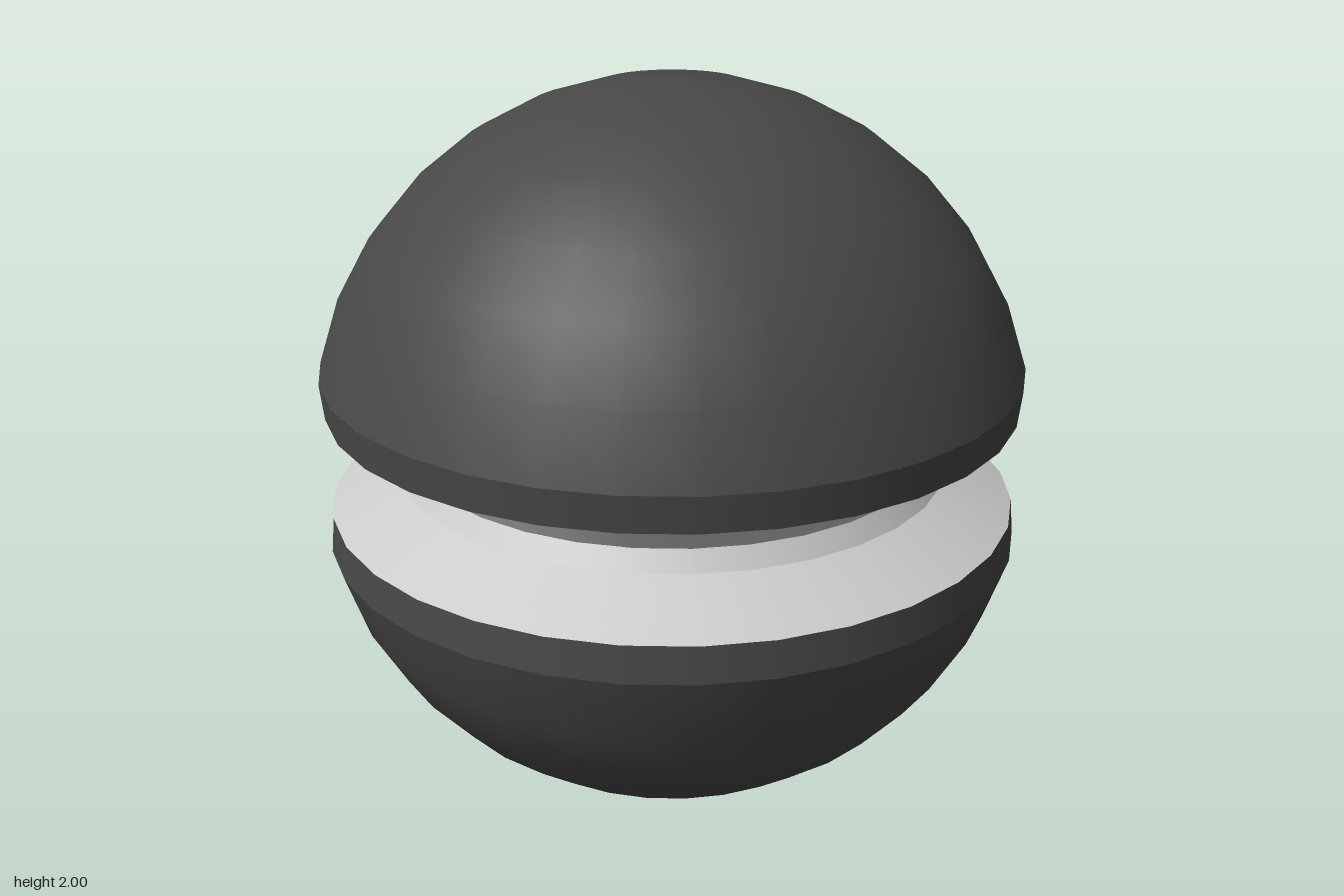
import * as THREE from 'three';

const SIDES = 32;
const dark = new THREE.MeshStandardMaterial({ color: 0x484848 });
const grey = new THREE.MeshStandardMaterial({ color: 0xcccccc });

// Points of the domed cap, from its lower edge up to the pole
function domeProfile(rows = 7, radius = 0.98, centreY = 1.02) {
  const edge = Math.acos(0.22 / radius);
  const points = [];
  for (let i = rows; i >= 0; i--) {
    const a = (edge * i) / rows;
    points.push([i === 0 ? 0 : radius * Math.sin(a), centreY + radius * Math.cos(a)]);
  }
  return points;
}

// Upper half, bottom to top; separate pieces keep the edges between them sharp
const pieces = [
  ['innerGroove', grey, [[0.725, 1], [0.757, 1.052]]],
  ['outerGroove', grey, [[0.757, 1.052], [0.945, 1.143]]],
  ['rimBand', dark, [[0.945, 1.143], [0.955, 1.24]]],
  ['dome', dark, domeProfile()],
];

function turned(name, material, points) {
  const profile = points.map(([r, y]) => new THREE.Vector2(r, y));
  const mesh = new THREE.Mesh(new THREE.LatheGeometry(profile, SIDES), material);
  mesh.name = name;
  return mesh;
}

export function createModel() {
  const model = new THREE.Group();
  model.name = 'groovedBall';
  for (const half of ['upper', 'lower']) {
    const group = new THREE.Group();
    group.name = half + 'Half';
    for (const [name, material, points] of pieces) {
      // The lower half mirrors the profile about y = 1
      const profile = half === 'upper' ? points : points.map(([r, y]) => [r, 2 - y]).reverse();
      group.add(turned(name, material, profile));
    }
    model.add(group);
  }
  return model;
}
